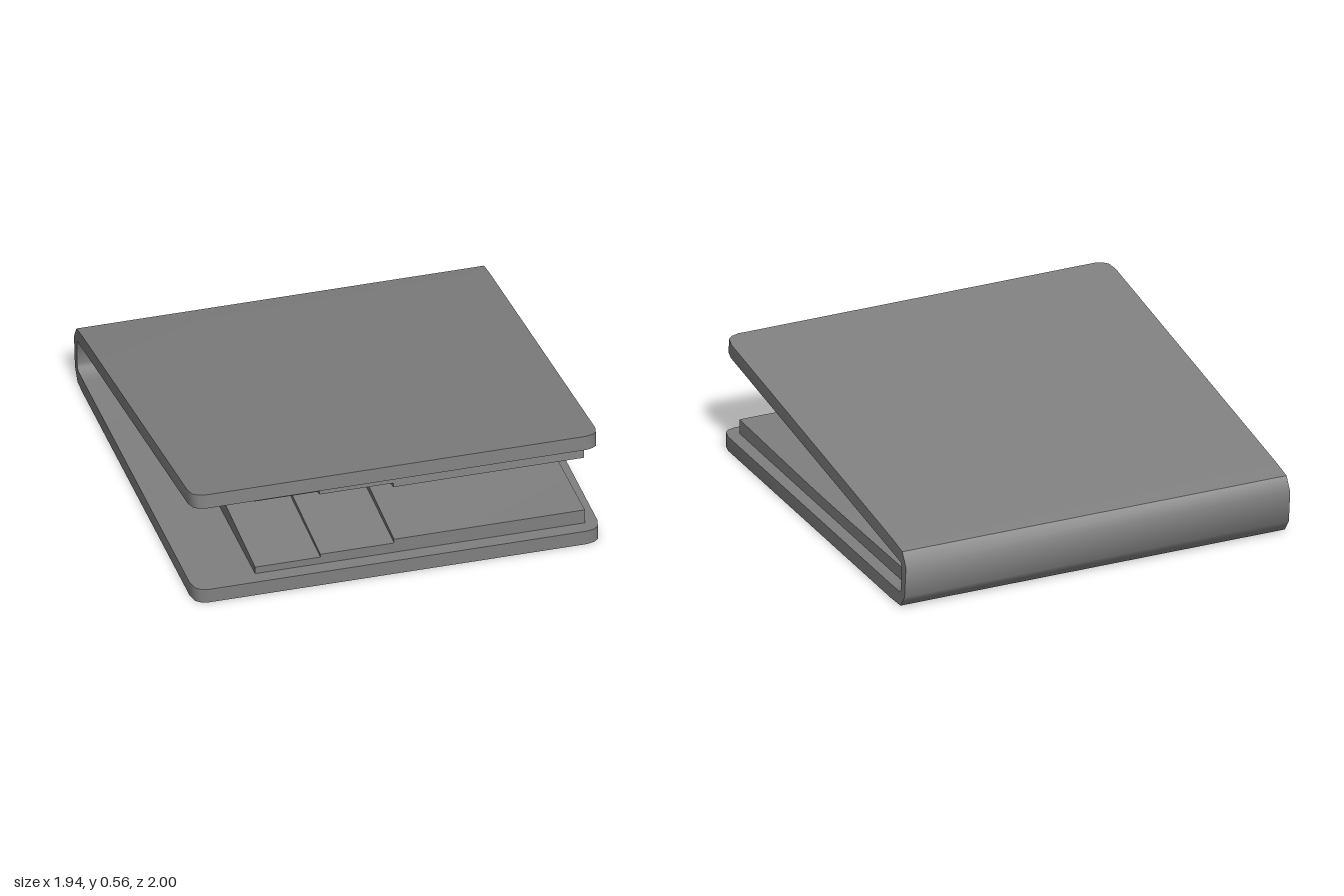
import * as THREE from 'three';
import { toCreasedNormals } from 'three/addons/utils/BufferGeometryUtils.js';

const material = new THREE.MeshStandardMaterial({ color: 0x808080 });

// Closed solid through a row of four-cornered sections
function loft(rings, name) {
  const positions = rings.flat(2);
  const index = [];
  const quad = (a, b, c, d) => index.push(a, b, c, a, c, d);
  for (let i = 0; i < rings.length - 1; i++) {
    for (let j = 0; j < 4; j++) {
      const k = (j + 1) % 4, p = i * 4, q = p + 4;
      quad(p + j, p + k, q + k, q + j);
    }
  }
  const last = (rings.length - 1) * 4;
  quad(3, 2, 1, 0);
  quad(last, last + 1, last + 2, last + 3);
  const geometry = new THREE.BufferGeometry();
  geometry.setAttribute('position', new THREE.Float32BufferAttribute(positions, 3));
  geometry.setIndex(index);
  const mesh = new THREE.Mesh(toCreasedNormals(geometry, 0.8), material);
  mesh.name = name;
  return mesh;
}

// Folded cover: outer z, outer y, inner z, inner y, half width
function cover() {
  const W = 0.968;
  const stations = [
    [1, 0, 1, 0.07, 0.9],
    [0.99, 0, 0.99, 0.07, 0.935],
    [0.97, 0, 0.97, 0.07, 0.957],
    [0.92, 0, 0.92, 0.07, W],
    [-0.84, 0.005, -0.84, 0.075, W],
    [-0.94, 0.01, -0.93, 0.077, W],
    [-0.9625, 0.04, -0.944, 0.088, W],
    [-0.985, 0.07, -0.948, 0.11, W],
    [-1, 0.225, -0.95, 0.22, W],
    [-0.96, 0.29, -0.94, 0.231, W],
    [-0.85, 0.31, -0.855, 0.242, W],
    [0.885, 0.549, 0.892, 0.48, W],
    [0.934, 0.556, 0.941, 0.487, 0.957],
    [0.953, 0.5585, 0.96, 0.4895, 0.935],
    [0.963, 0.56, 0.97, 0.491, 0.9],
  ];
  return loft(stations.map(([zo, yo, zi, yi, w]) =>
    [[w, yo, zo], [-w, yo, zo], [-w, yi, zi], [w, yi, zi]]), 'foldedCover');
}

// Stepped pockets, each bulging along its left edge; side = -1 hangs them downward
function pockets(side, name) {
  const group = new THREE.Group();
  group.name = name;
  const right = 0.906, half = 0.891, soft = 0.35;
  const edges = [-0.66, -0.35, 0, right];
  const heights = [0.035, 0.05, 0.07];
  const stops = [-1, -0.68, -0.35, -0.18, 0, 0.18, 0.35, 0.68, 1];
  const bulge = (u) => {
    const a = Math.abs(u);
    return (a > soft ? 1 - a : 1 - soft / 2 - (a * a) / (2 * soft)) / (1 - soft / 2);
  };
  heights.forEach((h, n) => {
    const x0 = edges[n], x1 = edges[n + 1];
    const fall = 1 - 1.2 * (x1 - x0) / (right - x0);
    const rings = stops.map((u) => {
      const z = u * half, b = 0.053 * bulge(u);
      const ring = [[x0, 0, z], [x1, 0, z], [x1, side * (h + b * fall), z], [x0, side * (h + b), z]];
      return side > 0 ? ring : ring.reverse();
    });
    group.add(loft(rings, 'pocket' + (n + 1)));
  });
  return group;
}

export function createModel() {
  const model = new THREE.Group();
  model.name = 'wallet';
  model.add(cover());

  const lower = pockets(1, 'lowerPockets');
  lower.position.set(0, 0.071, 0.04);
  model.add(lower);

  // Upper pockets follow the tilt of the open flap
  const upper = pockets(-1, 'upperPockets');
  upper.position.set(0, 0.3635, 0.027);
  upper.rotation.x = -0.138;
  model.add(upper);
  return model;
}
